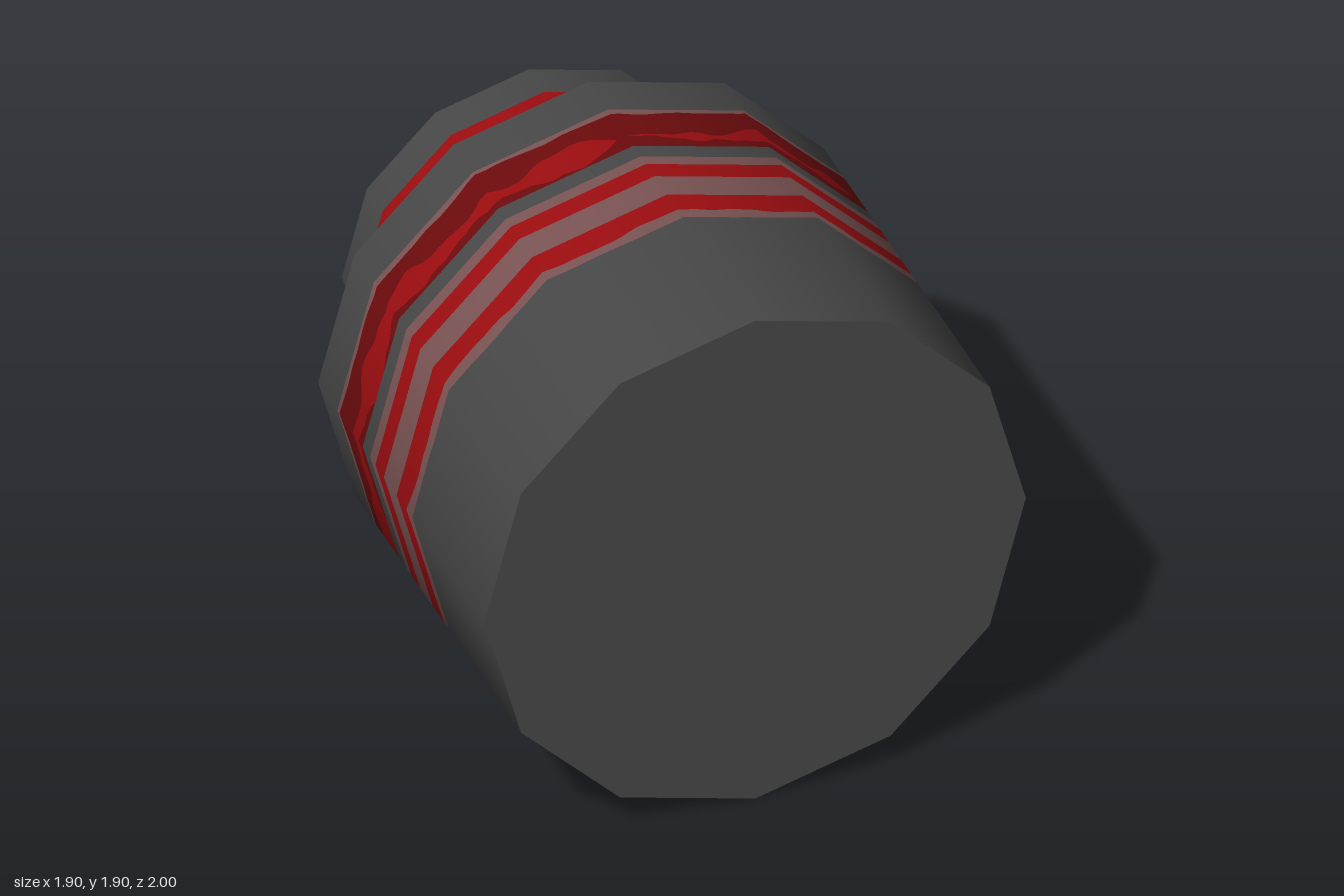
import * as THREE from 'three';

const SIDES = 12, SUB = 14, CY = 0.953;
const R_MAIN = 0.951, R_REAR = 0.655;

const mat = (name, color) => {
  const m = new THREE.MeshStandardMaterial({ color });
  m.name = name;
  return m;
};

// Periodic wobble around the barrel, roughly -1..1
const wobble = (a, s) =>
  0.4 * Math.sin(7 * a + s) + 0.3 * Math.sin(17 * a + 2.3 * s) +
  0.2 * Math.sin(31 * a + 4.1 * s) + 0.1 * Math.sin(53 * a + 1.7 * s);
const wavy = (z, amp, seed) => (a) => z + amp * wobble(a, seed);
const flat = (z) => () => z;

// Ring of a twelve-sided barrel between two edges z(angle), smooth side normals
function band(radius, front, back) {
  const pos = [], nor = [], idx = [];
  const n = SIDES * SUB, step = (2 * Math.PI) / SIDES;
  for (let i = 0; i <= n; i++) {
    const side = Math.floor(i / SUB), t = (i % SUB) / SUB;
    const a0 = side * step, a1 = a0 + step;
    const x = THREE.MathUtils.lerp(Math.cos(a0), Math.cos(a1), t);
    const y = THREE.MathUtils.lerp(Math.sin(a0), Math.sin(a1), t);
    const l = Math.hypot(x, y), a = ((i % n) / n) * 2 * Math.PI;
    for (const z of [front(a), back(a)]) {
      pos.push(x * radius, y * radius, z);
      nor.push(x / l, y / l, 0);
    }
    if (i < n) {
      const k = i * 2;
      idx.push(k + 1, k + 3, k, k + 3, k + 2, k);
    }
  }
  const g = new THREE.BufferGeometry();
  g.setAttribute('position', new THREE.Float32BufferAttribute(pos, 3));
  g.setAttribute('normal', new THREE.Float32BufferAttribute(nor, 3));
  g.setIndex(idx);
  return g;
}

export function createModel() {
  const grey = mat('dark grey', 0x474747);
  const red = mat('red', 0x9b0d10);
  const darkRed = mat('dark red', 0x6c0b0d);
  const rose = mat('greyish rose', 0x7a5353);

  const model = new THREE.Group();
  model.name = 'steppedBarrel';
  const add = (name, geometry, material, z = 0) => {
    const mesh = new THREE.Mesh(geometry, material);
    mesh.name = name;
    mesh.position.set(0, CY, z);
    model.add(mesh);
  };

  // Irregular patches: wide and joined on the right-hand half, broken on the other
  const half = (a) => Math.max(0,
    0.026 - 0.018 * Math.cos(a) + 0.036 * wobble(a, 1.3) + 0.014 * Math.sin(11 * a + 0.6));
  const centre = (a) => -0.14 + 0.014 * wobble(a, 5.2);
  const patchFront = (a) => centre(a) + half(a);
  const patchBack = (a) => centre(a) - half(a);

  // Wide barrel, front to back: each entry runs to the next one's edge
  const main = [
    ['frontSleeve', grey, flat(1)],
    ['frontRoseEdge', rose, wavy(0.362, 0.004, 2.1)],
    ['frontRedStripe', red, wavy(0.318, 0.013, 0.4)],
    ['middleRoseStripe', rose, flat(0.224)],
    ['thinRedStripe', red, flat(0.112)],
    ['rearRoseStripe', rose, flat(0.037)],
    ['greyGap', grey, flat(-0.01)],
    ['darkBandFront', darkRed, flat(-0.075)],
    ['redPatches', red, patchFront],
    ['darkBandRear', darkRed, patchBack],
    ['rearRoseEdge', rose, wavy(-0.276, 0.011, 3.3)],
    ['rearSleeve', grey, flat(-0.298)],
    [null, null, flat(-0.468)],
  ];
  // Narrow rear neck
  const neck = [
    ['neckDarkBand', darkRed, flat(-0.468)],
    ['neckRedBand', red, wavy(-0.668, 0.016, 0.9)],
    ['neckEnd', grey, flat(-0.862)],
    [null, null, flat(-1)],
  ];
  for (const [list, radius] of [[main, R_MAIN], [neck, R_REAR]]) {
    for (let i = 0; i < list.length - 1; i++) {
      add(list[i][0], band(radius, list[i][2], list[i + 1][2]), list[i][1]);
    }
  }

  // Flat end faces and the step between the two diameters
  add('frontFace', new THREE.CircleGeometry(R_MAIN, SIDES), grey, 1);
  add('stepFace', new THREE.RingGeometry(R_REAR, R_MAIN, SIDES).rotateY(Math.PI), grey, -0.468);
  add('rearFace', new THREE.CircleGeometry(R_REAR, SIDES).rotateY(Math.PI), grey, -1);

  return model;
}
